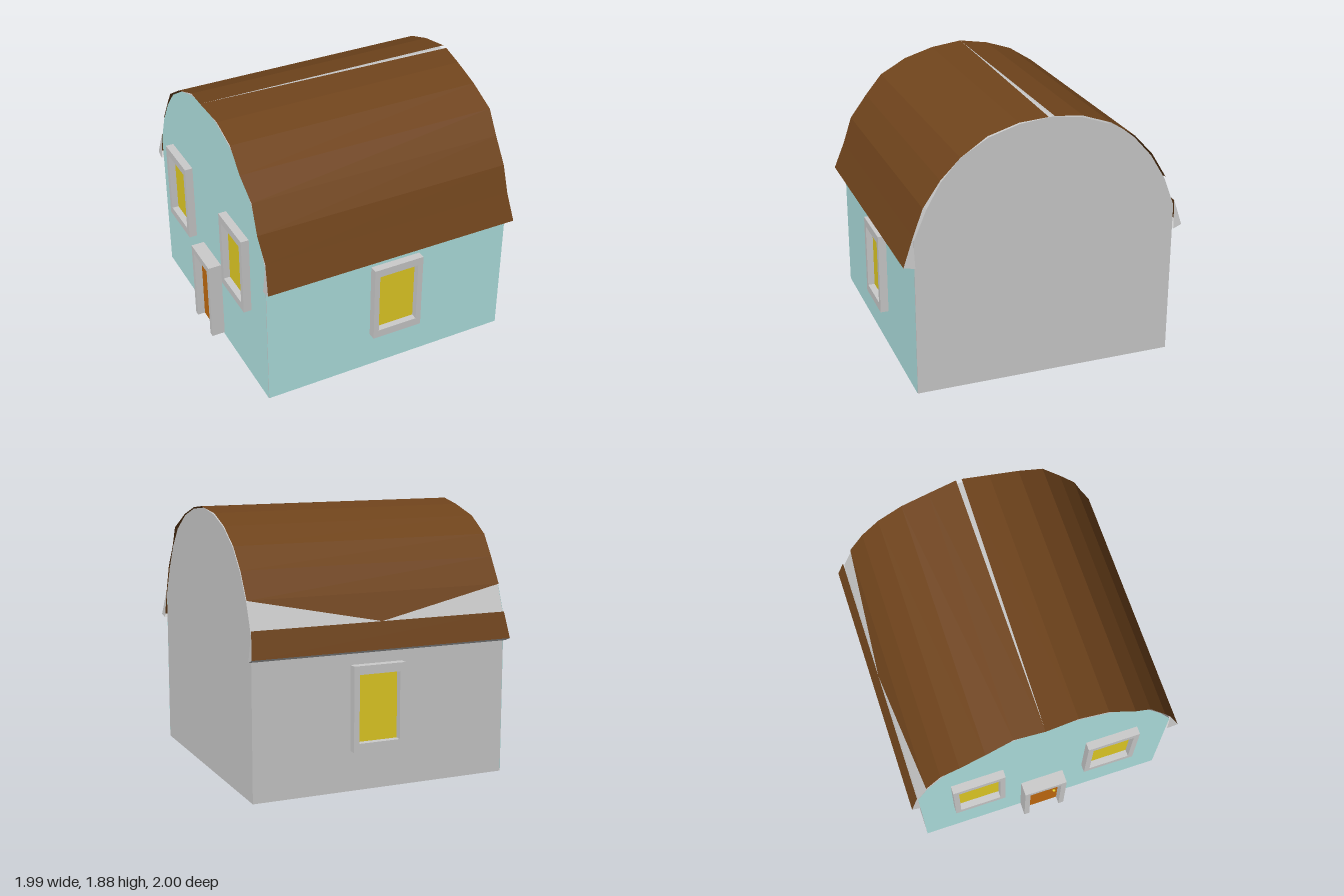
import * as THREE from 'three';

const mat = (color, side = THREE.FrontSide) =>
  new THREE.MeshStandardMaterial({ color, side, flatShading: true });
const grey = mat(0xcccccc, THREE.DoubleSide);
const teal = mat(0xb2e5e4, THREE.DoubleSide);
const brown = mat(0x70441c, THREE.DoubleSide);
const yellow = mat(0xe5ce25);
const doorBrown = mat(0xc46c10);

const X0 = -0.9, X1 = 0.97, FRONT = 0.92, BACK = -0.94;

// Barrel-shaped wall outline as [z, y], from front to back
const wall = [
  [FRONT, 0], [FRONT, 1.13], [0.83, 1.34], [0.73, 1.515], [0.6, 1.66], [0.41, 1.775],
  [0.2, 1.84], [-0.03, 1.865], [-0.24, 1.835], [-0.44, 1.765], [-0.62, 1.65],
  [-0.75, 1.505], [-0.86, 1.325], [BACK, 1.12], [BACK, 0],
];

// Roof skin sections as [z, y, x of one edge, x of the other edge]
const roof = [
  [1.0, 0.96, -0.92, 0.99], [0.925, 1.16, -0.9, 0.97], [0.855, 1.35, -0.92, 0.97],
  [0.735, 1.525, -0.9, 0.97], [0.605, 1.67, -0.92, 0.99], [0.415, 1.785, -0.9, 0.97],
  [0.2, 1.85, -0.9, 0.97], [-0.035, 1.875, -0.92, 0.99], [-0.245, 1.845, -0.9, 0.97],
  [-0.445, 1.775, -0.92, 0.97], [-0.625, 1.66, -0.92, 0.97], [-0.758, 1.515, -0.9, 0.97],
  [-0.868, 1.335, -0.9, 0.97], [-0.946, 1.15, -0.9, 0.97], [-1.0, 0.97, -0.92, 0.99],
];

function add(parent, name, geometry, material) {
  const mesh = new THREE.Mesh(geometry, material);
  mesh.name = name;
  parent.add(mesh);
  return mesh;
}

// Flat-shaded geometry from a list of corner points, three per triangle
function facets(points) {
  const g = new THREE.BufferGeometry();
  g.setAttribute('position', new THREE.Float32BufferAttribute(points.flat(), 3));
  g.computeVertexNormals();
  return g;
}
const quad = (a, b, c, d) => [a, b, c, a, c, d];
const outline = (sign) =>
  new THREE.Shape(wall.map(([z, y]) => new THREE.Vector2(sign * z, y)));

// Rectangular frame standing on local y = 0; a door frame has no lower bar
function frameGeometry(w, h, depth, side, bottom, top) {
  const s = new THREE.Shape();
  const a = w / 2, b = a - side;
  if (bottom > 0) {
    s.moveTo(-a, 0).lineTo(a, 0).lineTo(a, h).lineTo(-a, h).closePath();
    const hole = new THREE.Path();
    hole.moveTo(-b, bottom).lineTo(-b, h - top).lineTo(b, h - top).lineTo(b, bottom).closePath();
    s.holes.push(hole);
  } else {
    s.moveTo(-a, 0).lineTo(-b, 0).lineTo(-b, h - top).lineTo(b, h - top)
      .lineTo(b, 0).lineTo(a, 0).lineTo(a, h).lineTo(-a, h).closePath();
  }
  return new THREE.ExtrudeGeometry(s, { depth, bevelEnabled: false });
}

function makeWindow(name) {
  const g = new THREE.Group();
  g.name = name;
  add(g, 'windowFrame', frameGeometry(0.38, 0.59, 0.06, 0.04, 0.06, 0.06), grey);
  add(g, 'windowPane', new THREE.BoxGeometry(0.3, 0.47, 0.02), yellow).position.set(0, 0.295, 0.002);
  return g;
}

function makeDoor() {
  const g = new THREE.Group();
  g.name = 'door';
  add(g, 'doorFrame', frameGeometry(0.32, 0.62, 0.1, 0.04, 0, 0.05), grey);
  add(g, 'doorPanel', new THREE.BoxGeometry(0.24, 0.57, 0.05), doorBrown).position.set(0, 0.285, 0.02);
  add(g, 'doorKnob', new THREE.SphereGeometry(0.012, 10, 8), yellow).position.set(0.09, 0.28, 0.053);
  return g;
}

function makeRoof() {
  const g = new THREE.Group();
  g.name = 'roof';
  const L = ([z, y, x]) => [x, y, z];
  const R = ([z, y, , x]) => [x, y, z];
  const pts = [];
  for (let i = 0; i < roof.length - 1; i++) {
    const a = roof[i], b = roof[i + 1];
    if (i === 12) {
      // This course narrows to a point, leaving a bare triangle at each end
      pts.push(L(a), R(a), [0.04, b[1], b[0]]);
    } else if (i === 6) {
      // Slanted edge leaves a thin wedge open beside the ridge
      pts.push(...quad(L(a), R(a), [b[3], 1.872, 0.005], L(b)));
    } else {
      pts.push(...quad(L(a), R(a), R(b), L(b)));
    }
  }
  add(g, 'roofSkin', facets(pts), brown);

  // Grey undersides and end caps of the flared eaves
  for (const [eave, top, z] of [[roof[0], roof[1], FRONT], [roof[14], roof[13], BACK]]) {
    const inL = [eave[2], 0.945, z], inR = [eave[3], 0.945, z];
    add(g, 'eave', facets([
      ...quad(L(eave), R(eave), inR, inL),
      L(eave), inL, L(top), R(eave), inR, R(top),
    ]), grey);
  }
  return g;
}

export function createModel() {
  const house = new THREE.Group();
  house.name = 'house';

  // Main body with its barrel top
  const body = new THREE.ExtrudeGeometry(outline(-1), { depth: X1 - X0, bevelEnabled: false });
  body.rotateY(Math.PI / 2).translate(X0, 0, 0);
  add(house, 'body', body, grey);

  // Painted front wall and door end
  add(house, 'frontWall', new THREE.PlaneGeometry(X1 - X0, 1.1), teal)
    .position.set((X0 + X1) / 2, 0.55, FRONT + 0.002);
  const end = add(house, 'doorEndWall', new THREE.ShapeGeometry(outline(1)), teal);
  end.rotation.y = -Math.PI / 2;
  end.position.x = X0 - 0.002;

  house.add(makeRoof());

  // Openings: [object, x, y, z, turn]
  const openings = [
    [makeWindow('frontWindow'), 0.08, 0.28, FRONT, 0],
    [makeWindow('backWindow'), 0.08, 0.28, BACK, Math.PI],
    [makeWindow('endWindowFront'), X0, 0.605, 0.48, -Math.PI / 2],
    [makeWindow('endWindowBack'), X0, 0.605, -0.51, -Math.PI / 2],
    [makeDoor(), X0, 0.015, -0.02, -Math.PI / 2],
  ];
  for (const [part, x, y, z, turn] of openings) {
    part.position.set(x, y, z);
    part.rotation.y = turn;
    house.add(part);
  }
  return house;
}
